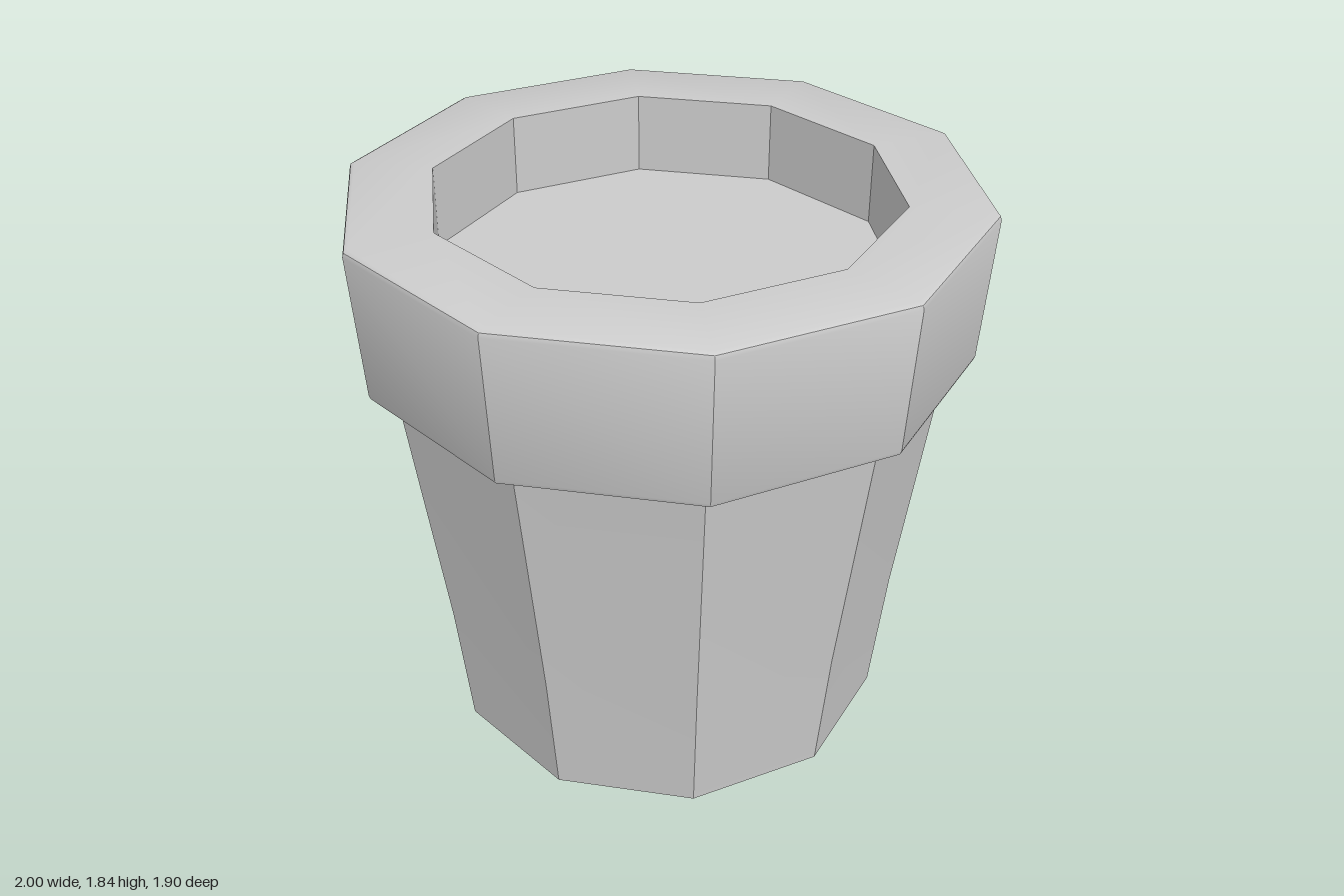
import * as THREE from 'three';
import { toCreasedNormals } from 'three/addons/utils/BufferGeometryUtils.js';

const SIDES = 10;
const material = new THREE.MeshStandardMaterial({ color: 0xcccccc });

// Ten-sided ring from an [radius, height] profile, with a corner on +x
function facetedLathe(name, profile) {
  const points = profile.map(([r, y]) => new THREE.Vector2(r, y));
  const geometry = new THREE.LatheGeometry(points, SIDES, Math.PI / 2);
  // smooth along the profile, hard between the ten sides
  const mesh = new THREE.Mesh(toCreasedNormals(geometry, 0.58), material);
  mesh.name = name;
  return mesh;
}

// Flat ten-sided disc facing up (1) or down (-1)
function disc(name, radius, y, facing) {
  const geometry = new THREE.CircleGeometry(radius, SIDES);
  geometry.rotateX(-facing * Math.PI / 2);
  const mesh = new THREE.Mesh(geometry, material);
  mesh.name = name;
  mesh.position.y = y;
  return mesh;
}

export function createModel() {
  const pot = new THREE.Group();
  pot.name = 'flowerPot';

  // Tapered wall with a slight flare, closed by the base
  pot.add(facetedLathe('potBody', [[0.73, 0], [0.775, 0.45], [0.89, 1.34]]));
  pot.add(disc('potBase', 0.73, 0, -1));

  // Overhanging rim with small rounded edges and a straight inner wall
  pot.add(facetedLathe('rim', [
    [0.87, 1.335], [0.955, 1.335], [0.966, 1.339], [0.971, 1.352],
    [1.0, 1.815], [0.996, 1.828], [0.983, 1.835],
    [0.73, 1.835], [0.73, 1.57],
  ]));

  // Soil surface sunk below the rim
  pot.add(disc('soil', 0.73, 1.57, 1));

  return pot;
}
